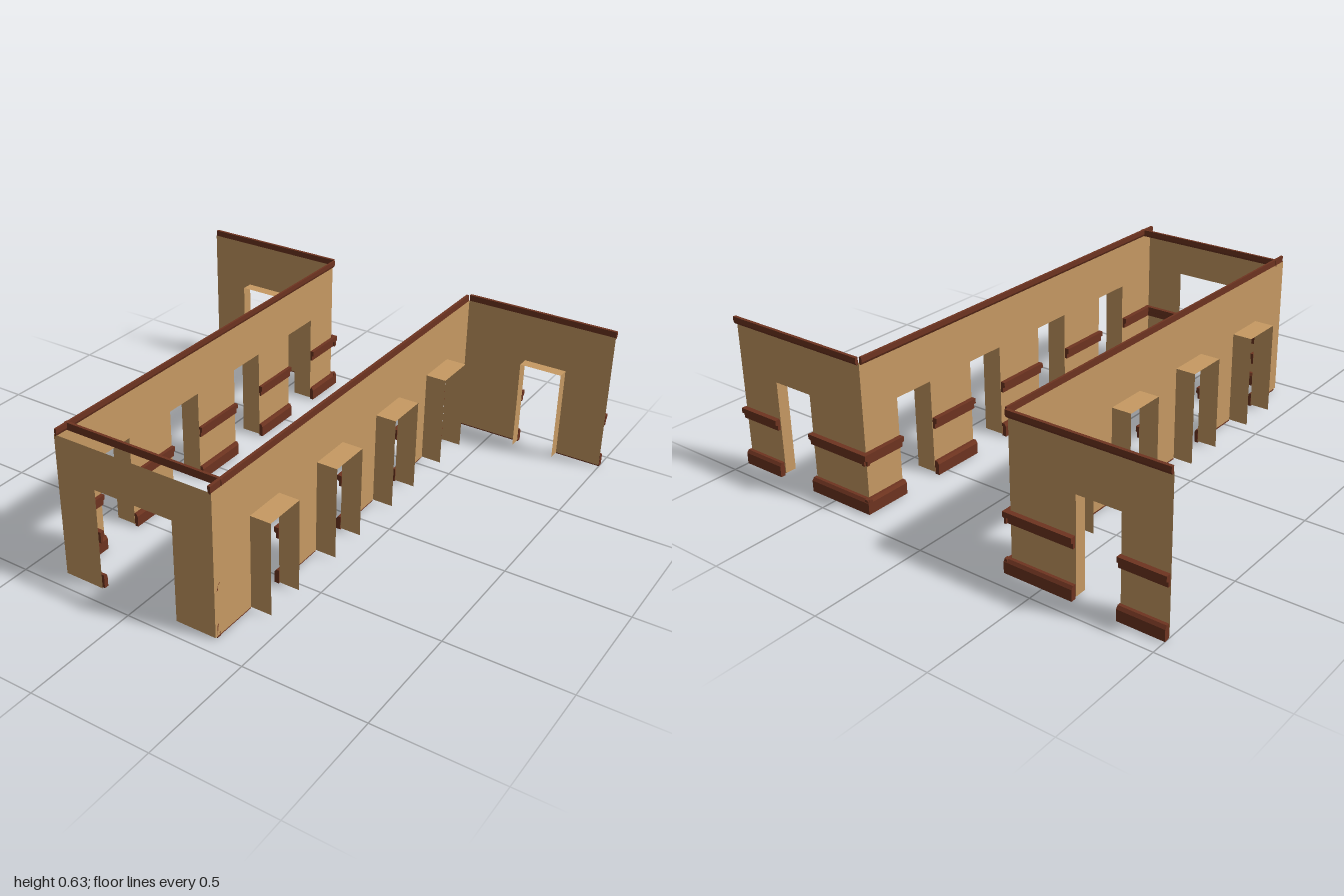
import * as THREE from 'three';

const plaster = new THREE.MeshStandardMaterial({ color: 0xc79a63, side: THREE.DoubleSide });
plaster.name = 'tan plaster';
const wood = new THREE.MeshStandardMaterial({ color: 0x6e3420 });
wood.name = 'brown wood';

const FLOOR = 0.007, WALL_TOP = 0.606;

// Trim profiles: [fraction of trim depth, height]
const BASEBOARD = [[0, 0], [1, 0], [1, 0.046], [0.6, 0.058], [0, 0.058]];
const CHAIR_RAIL = [[0, 0.2], [0.55, 0.2], [0.55, 0.22], [1, 0.225], [1, 0.246], [0, 0.246]];
const CROWN = [[0, 0.6], [0.35, 0.6], [0.6, 0.61], [0.6, 0.63], [0, 0.63]];

// Sweep a trim profile along local x, standing out toward local +z
function trim(name, profile, from, to, depth, offset) {
  const shape = new THREE.Shape(profile.map(([w, y]) => new THREE.Vector2(offset + w * depth, y)));
  const geometry = new THREE.ExtrudeGeometry(shape, { depth: to - from, bevelEnabled: false });
  geometry.rotateY(-Math.PI / 2).translate(to, 0, 0);
  const mesh = new THREE.Mesh(geometry, wood);
  mesh.name = name;
  return mesh;
}

// Thin wall in the local xy plane with doorways; trimmed side faces local +z
function wall(name, { from, to, doors, height = 0.4, reveal = 0, depth = 0.022,
  offset = 0.002, crownOffset = 0.003, trimFrom = from, trimTo = to }) {
  const group = new THREE.Group();
  group.name = name;

  // Wall sheet, notched at each doorway
  const outline = new THREE.Shape();
  outline.moveTo(from, FLOOR);
  for (const [a, b] of doors) {
    outline.lineTo(a, FLOOR);
    outline.lineTo(a, height);
    outline.lineTo(b, height);
    outline.lineTo(b, FLOOR);
  }
  outline.lineTo(to, FLOOR);
  outline.lineTo(to, WALL_TOP);
  outline.lineTo(from, WALL_TOP);
  const sheet = new THREE.Mesh(new THREE.ShapeGeometry(outline), plaster);
  sheet.name = 'wallSheet';
  group.add(sheet);

  // Door linings: two jambs and a head behind the wall
  if (reveal) for (const [a, b] of doors) {
    for (const x of [a, b]) {
      const jamb = new THREE.Mesh(new THREE.PlaneGeometry(reveal, height - FLOOR), plaster);
      jamb.name = 'doorJamb';
      jamb.rotation.y = x === a ? Math.PI / 2 : -Math.PI / 2;
      jamb.position.set(x, (height + FLOOR) / 2, -reveal / 2);
      group.add(jamb);
    }
    const head = new THREE.Mesh(new THREE.PlaneGeometry(b - a, reveal), plaster);
    head.name = 'doorHead';
    head.rotation.x = -Math.PI / 2;
    head.position.set((a + b) / 2, height, -reveal / 2);
    group.add(head);
  }

  // Baseboard and chair rail between doorways, crown along the full run
  const stops = [trimFrom, ...doors.flat(), trimTo];
  for (let i = 0; i < stops.length; i += 2) {
    group.add(trim('baseboard', BASEBOARD, stops[i], stops[i + 1], depth, offset));
    group.add(trim('chairRail', CHAIR_RAIL, stops[i], stops[i + 1], depth, offset));
  }
  group.add(trim('crownMoulding', CROWN, from, to, depth, crownOffset));
  return group;
}

export function createModel() {
  const model = new THREE.Group();
  model.name = 'hallWalls';
  const place = (part, x, z, turn) => {
    part.position.set(x, 0, z);
    part.rotation.y = turn;
    model.add(part);
  };
  const LEFT = 0.342, RIGHT = -0.348, FRONT = 0.935, BACK = -0.907;
  const sideDoors = [[-0.73, -0.55], [-0.32, -0.14], [0.11, 0.29], [0.54, 0.72]];
  const flip = doors => doors.map(([a, b]) => [-b, -a]).reverse();

  // Long side walls, trimmed toward the hall
  place(wall('leftSideWall', {
    from: BACK, to: FRONT, doors: sideDoors, reveal: 0.088, depth: 0.02,
    trimFrom: BACK - 0.024, trimTo: 0.923,
  }), LEFT, 0, -Math.PI / 2);
  place(wall('rightSideWall', {
    from: -FRONT, to: -BACK, doors: flip(sideDoors), reveal: 0.086, depth: 0.015,
    offset: 0.001, trimFrom: -0.923, trimTo: -BACK + 0.024,
  }), RIGHT, 0, Math.PI / 2);

  // Front wall with the wide entrance; its crown sits back from the wall
  place(wall('frontWall', {
    from: -LEFT, to: -RIGHT, doors: [[-0.169, 0.175]], height: 0.435, depth: 0.019,
    offset: 0.012, crownOffset: 0.057,
  }), 0, FRONT, Math.PI);

  // Back wings, trimmed on their rear faces
  place(wall('leftWing', {
    from: -1, to: -LEFT, doors: [[-0.805, -0.622]], reveal: 0.049,
    depth: 0.022, offset: 0.004, trimTo: -0.32,
  }), 0, BACK, Math.PI);
  place(wall('rightWing', {
    from: -RIGHT, to: 1, doors: [[0.626, 0.808]], reveal: 0.049,
    depth: 0.022, offset: 0.004, trimFrom: 0.332,
  }), 0, BACK, Math.PI);

  return model;
}
